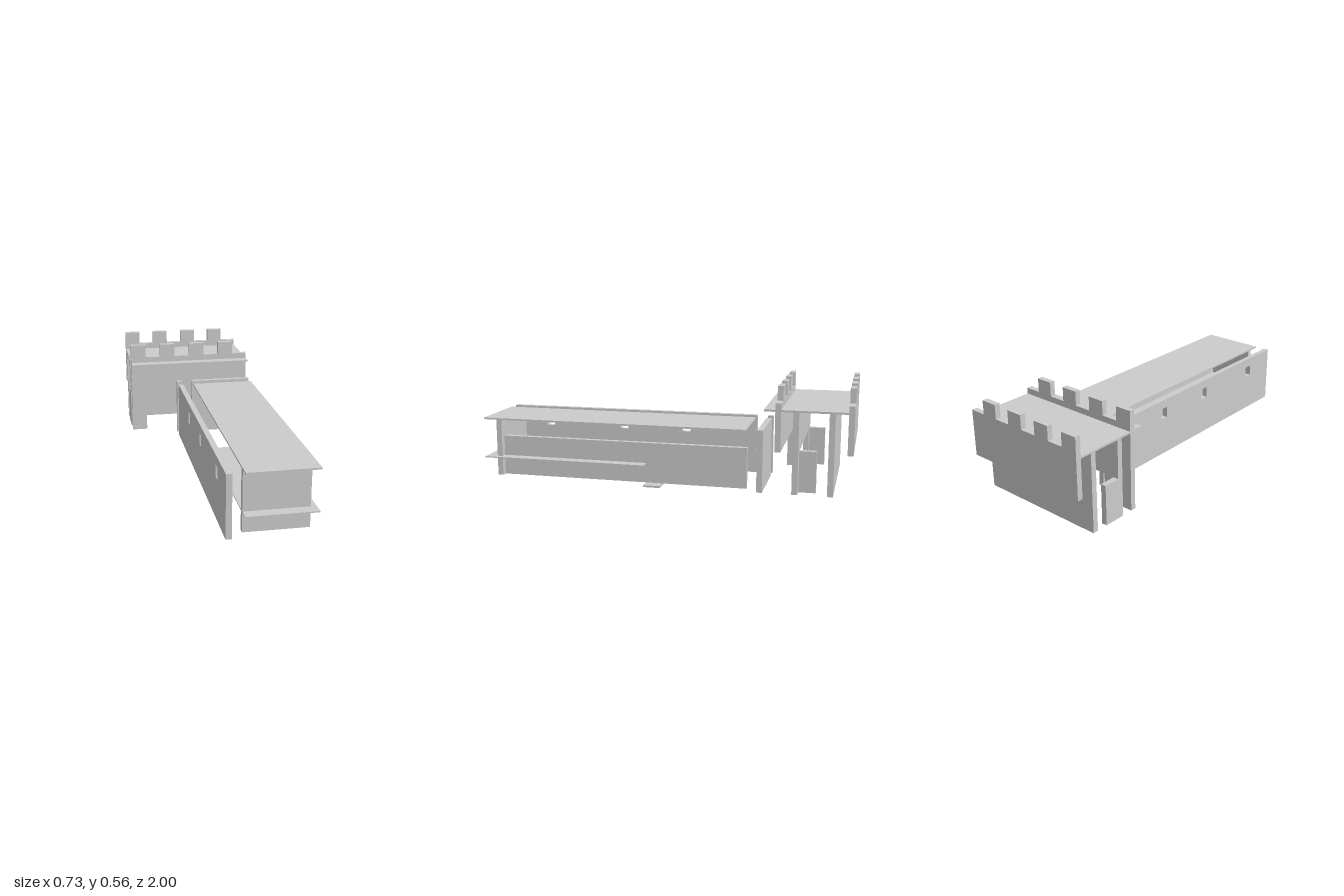
import * as THREE from 'three';

const T = 0.03; // board thickness
const material = new THREE.MeshStandardMaterial({ color: 0xcccccc, flatShading: true });

// Board given by its limits on each axis
function board(name, [x0, x1], [y0, y1], [z0, z1]) {
  const mesh = new THREE.Mesh(new THREE.BoxGeometry(x1 - x0, y1 - y0, z1 - z0), material);
  mesh.position.set((x0 + x1) / 2, (y0 + y1) / 2, (z0 + z1) / 2);
  mesh.name = name;
  return mesh;
}

// Outline in the XY plane, extruded along z from the given depth
function panel(name, points, z, holes = []) {
  const toVectors = (list) => list.map(([x, y]) => new THREE.Vector2(x, y));
  const shape = new THREE.Shape(toVectors(points));
  for (const hole of holes) shape.holes.push(new THREE.Path(toVectors(hole)));
  const geometry = new THREE.ExtrudeGeometry(shape, { depth: T, bevelEnabled: false });
  geometry.translate(0, 0, z);
  const mesh = new THREE.Mesh(geometry, material);
  mesh.name = name;
  return mesh;
}

const L = -0.364, R = 0.362; // tower sides
const FLOOR = 0.01, ARCH = 0.228;

// Battlement top edge, listed from right to left
function battlement() {
  const points = [[R, 0.48]];
  for (const x of [0.182, 0, -0.183, L]) {
    const x1 = x + 0.0905;
    points.push([x1, 0.48], [x1, 0.556], [x, 0.556]);
    if (x !== L) points.push([x, 0.48]);
  }
  return points;
}

function createTower() {
  const tower = new THREE.Group();
  tower.name = 'gatehouse';
  tower.add(
    // Front wall keeps one leg beside the gateway
    panel('frontBattlement',
      [[L, FLOOR], [-0.274, FLOOR], [-0.274, ARCH], [R, ARCH], ...battlement()], -0.635),
    panel('backBattlement', [[L, ARCH], [R, ARCH], ...battlement()], -1),
    // Inner wall with a wide gateway
    panel('gatewayWall', [
      [L, FLOOR], [-0.274, FLOOR], [-0.274, ARCH], [0.272, ARCH],
      [0.272, FLOOR], [R, FLOOR], [R, 0.437], [L, 0.437],
    ], -0.726),
    board('backWall', [L, R], [FLOOR, 0.437], [-0.906, -0.876]),
    board('towerFloor', [L, R], [0.437, 0.447], [-0.97, -0.547]),
    board('gateSideRight', [L, L + T], [FLOOR, ARCH], [-0.815, -0.726]),
    board('gateSideLeft', [0.275, 0.305], [FLOOR, ARCH], [-0.815, -0.726]),
  );
  return tower;
}

function createHall() {
  const hall = new THREE.Group();
  hall.name = 'hall';

  // Long wall drawn along z, then turned to face sideways
  const windows = [-0.802, -0.347, 0.023].map((x) =>
    [[x, 0.226], [x, 0.288], [x + 0.048, 0.288], [x + 0.048, 0.226]]);
  const longWall = panel('windowWall',
    [[-1, FLOOR], [0.455, FLOOR], [0.455, 0.337], [-1, 0.337]], 0, windows);
  longWall.rotation.y = Math.PI / 2;
  longWall.position.x = -0.091;

  hall.add(
    longWall,
    board('lowWall', [0.272, 0.302], [FLOOR, ARCH], [-0.455, 0.91]),
    board('frontWall', [0, 0.333], [FLOOR, 0.328], [0.91, 0.94]),
    board('roof', [0, R], [0.328, 0.337], [-0.455, 1]),
    board('shelf', [0, R], [0.112, 0.118], [0.09, 1]),
    board('step', [0, R], [0, FLOOR], [0, 0.09]),
    board('endWall', [0, R], [FLOOR, 0.337], [-0.545, -0.515]),
    board('endPost', [-0.091, -0.061], [FLOOR, 0.337], [-0.545, -0.515]),
  );
  return hall;
}

export function createModel() {
  const model = new THREE.Group();
  model.name = 'castleModel';
  model.add(createTower(), createHall());
  return model;
}
